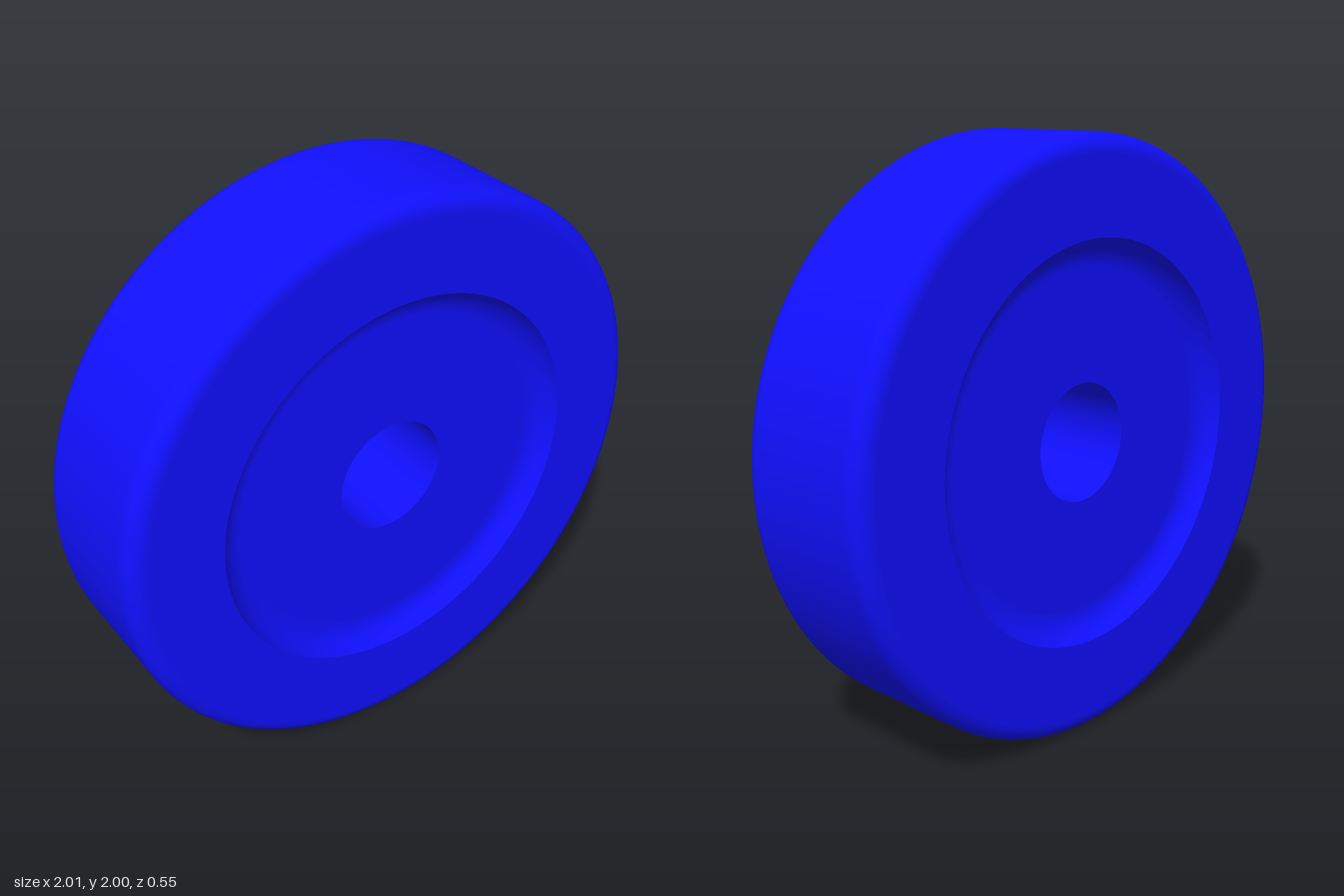
import * as THREE from 'three';

const HALF = 0.264;    // half the thickness
const OUTER = 1;       // outer radius
const ROUND = 0.06;    // rounding of the outer edges
const RIM = 0.675;     // radius of the dished recess
const DEPTH = 0.065;   // depth of the recess
const COVE = 0.1;      // radius of the hollow curve round the recess
const BORE = 0.2;      // radius of the axle hole

const v = (r, y) => new THREE.Vector2(r, y);

// Points along an arc, from angle a to angle b
function arc(cx, cy, radius, a, b, steps = 10) {
  return Array.from({ length: steps + 1 }, (_, i) => {
    const t = a + ((b - a) * i) / steps;
    return v(cx + radius * Math.cos(t), cy + radius * Math.sin(t));
  });
}

// The same profile on the other side, run backwards so it still faces outwards
const mirrored = (points) => points.map((p) => v(p.x, -p.y)).reverse();

export function createModel() {
  const group = new THREE.Group();
  group.name = 'wheel';
  const material = new THREE.MeshStandardMaterial({ color: 0x1010ff });

  // Each profile is turned about the axle, which runs along z
  const turn = (name, points) => {
    const geometry = new THREE.LatheGeometry(points, 128).rotateX(Math.PI / 2);
    const mesh = new THREE.Mesh(geometry, material);
    mesh.name = name;
    group.add(mesh);
  };

  // Tread, rounded edges and flat side rings; extra points keep the flats flat
  const side = [
    v(OUTER, HALF - ROUND - 0.005),
    ...arc(OUTER - ROUND, HALF - ROUND, ROUND, 0, Math.PI / 2),
    v(OUTER - ROUND - 0.005, HALF),
    v(RIM, HALF),
  ];
  turn('tread', [...mirrored(side), ...side]);

  // Recess on both sides: a hollow curve down to a flat disc
  const floor = HALF - DEPTH;
  const sweep = Math.acos(1 - DEPTH / COVE);
  const coveFoot = RIM - COVE * Math.sin(sweep);
  const recess = [
    ...arc(coveFoot, floor + COVE, COVE, -Math.PI / 2 + sweep, -Math.PI / 2),
    v(coveFoot - 0.005, floor),
    v(BORE, floor),
  ];
  turn('frontRecess', recess);
  turn('backRecess', mirrored(recess));

  // Axle hole
  turn('axleHole', [v(BORE, floor), v(BORE, -floor)]);

  // Stands upright, turned very slightly about the vertical
  group.position.y = OUTER;
  group.rotation.y = -0.0133;
  const model = new THREE.Group();
  model.add(group);
  return model;
}
